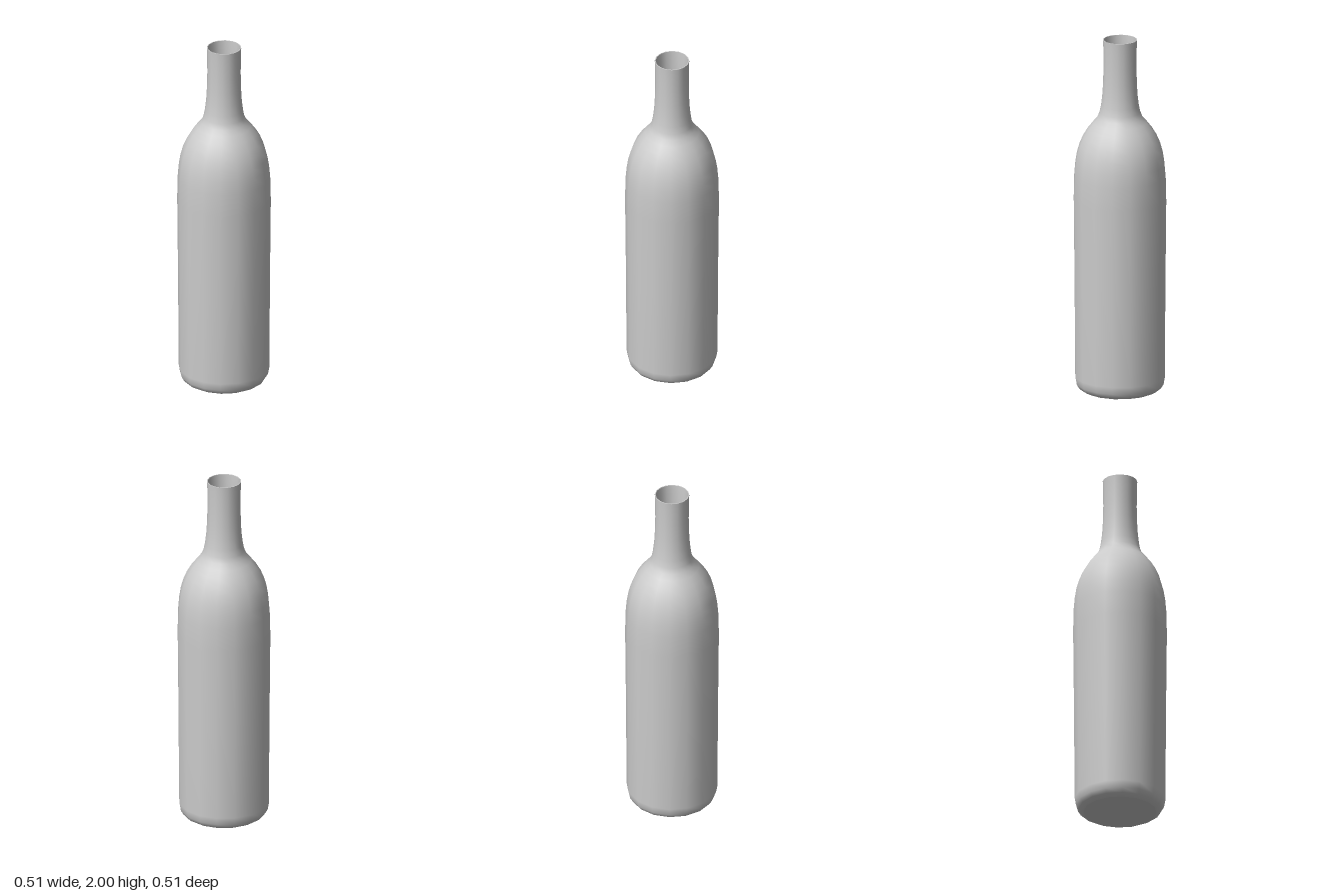
import * as THREE from 'three';

const SIDES = 16;
const WALL = 0.005;

// [radius, height] up the outside, from the bottom edge to the lip
const OUTER = [
  [0.2, 0.022], [0.225, 0.036], [0.24, 0.06], [0.247, 0.1], [0.25, 0.6], [0.255, 1.1],
  [0.252, 1.23], [0.246, 1.3], [0.237, 1.355], [0.223, 1.405], [0.203, 1.452],
  [0.177, 1.495], [0.148, 1.532], [0.124, 1.56], [0.112, 1.59], [0.104, 1.63],
  [0.097, 1.69], [0.093, 1.76], [0.091, 1.85], [0.092, 1.95], [0.094, 2],
];

export function createModel() {
  const bottle = new THREE.Group();
  bottle.name = 'bottle';
  const material = new THREE.MeshStandardMaterial({ color: 0xcccccc });

  const turn = (name, profile) => {
    const points = profile.map(([r, y]) => new THREE.Vector2(r, y));
    const mesh = new THREE.Mesh(new THREE.LatheGeometry(points, SIDES), material);
    mesh.name = name;
    bottle.add(mesh);
  };

  // Outer shell: body, shoulder and neck
  turn('outerWall', OUTER);

  // Slightly domed underside, with a hard edge to the wall
  turn('base', [[0, 0], [0.1, 0.008], [0.2, 0.022]]);

  // Thin flat lip at the mouth
  turn('rim', [[0.094, 2], [0.094 - WALL, 2]]);

  // Hollow inside, running from the mouth down to the floor
  const inner = OUTER.slice(1).map(([r, y]) => [r - WALL, y]).reverse();
  turn('innerWall', [...inner, [0.197, 0.03]]);
  turn('innerFloor', [[0.197, 0.03], [0.1, 0.018], [0.012, 0.012], [0, 0.008]]);

  return bottle;
}
